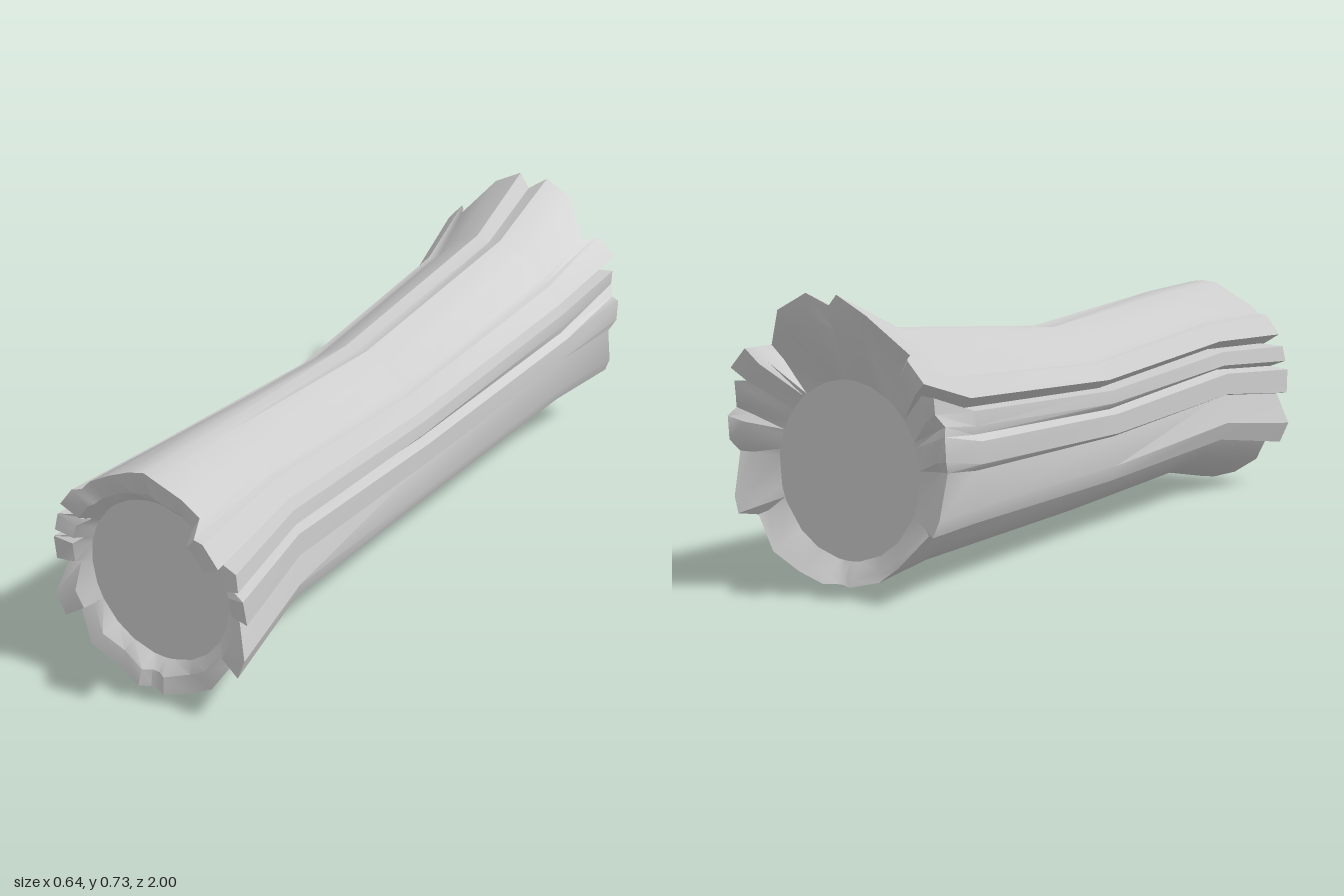
import * as THREE from 'three';
import { toCreasedNormals } from 'three/addons/utils/BufferGeometryUtils.js';

// Half outlines of the bark, top to bottom: [x, y, z] on each broken end
const FRONT = [
  [0, .615, .94], [.04, .61, .95], [.11, .575, .94], [.165, .545, .945], [.187, .52, .95], [.212, .515, .96],
  [.255, .46, .955], [.205, .432, .93], [.27, .425, .95], [.278, .38, .955], [.24, .365, .93], [.288, .355, .95],
  [.291, .285, .94], [.262, .282, .93], [.291, .19, .955], [.266, .13, .95], [.235, .147, .925],
  [.187, .07, .95], [.12, .025, .935], [.04, 0, .955], [.012, 0, .94], [0, .002, .94],
];
const BACK = [
  [0, .7, -.97], [.045, .73, -1], [.13, .685, -1], [.205, .59, -.93], [.225, .587, -.97], [.24, .585, -.99],
  [.285, .535, -.99], [.25, .5, -.95], [.295, .5, -.965], [.295, .46, -.96], [.31, .43, -.94], [.322, .41, -.96],
  [.322, .35, -.955], [.309, .32, -.93], [.305, .21, -.96], [.29, .17, -.965], [.255, .165, -.93],
  [.187, .085, -.96], [.12, .04, -.945], [.04, .02, -.955], [.012, .02, -.94], [0, .021, -.94],
];
// Trunk sections between the ends: z, half width, bottom, top, blend front to back
const STATIONS = [
  [.64, .243, .06, .605, .1],
  [0, .237, .04, .562, .4],
  [-.73, .275, .035, .625, .65],
];

// Full clockwise loop from a half outline
const mirror = (half) => [
  ...half.map((p) => new THREE.Vector3(...p)),
  ...half.slice(1, -1).reverse().map(([x, y, z]) => new THREE.Vector3(-x, y, z)),
];

function station([z, w, bottom, top, t]) {
  return mirror(FRONT.map(([fx, fy], i) => {
    const [bx, by] = BACK[i];
    const x = THREE.MathUtils.lerp(fx / .291, bx / .322, t);
    const y = THREE.MathUtils.lerp(fy / .615, (by - .02) / .71, t);
    return [x * w, bottom + Math.min(y, 1) * (top - bottom), z];
  }));
}

// Point on the cut face edge, in the same direction as the rim point
const inner = (ring, z) => ring.map((p) => {
  const a = Math.atan2((p.y - .293) / .222, p.x / .21);
  return new THREE.Vector3(.21 * Math.cos(a), .293 + .222 * Math.sin(a), z);
});

// Skin a list of closed rings, ordered from front to back
function skin(rings, crease) {
  const pos = [];
  const tri = (a, b, c) => {
    const area = b.clone().sub(a).cross(c.clone().sub(a)).length();
    if (area > 1e-9) pos.push(...a.toArray(), ...b.toArray(), ...c.toArray());
  };
  for (let i = 0; i < rings.length - 1; i++) {
    const n = rings[i].length;
    for (let j = 0; j < n; j++) {
      const k = (j + 1) % n;
      tri(rings[i][j], rings[i][k], rings[i + 1][j]);
      tri(rings[i][k], rings[i + 1][k], rings[i + 1][j]);
    }
  }
  const g = new THREE.BufferGeometry();
  g.setAttribute('position', new THREE.Float32BufferAttribute(pos, 3));
  return toCreasedNormals(g, crease);
}

export function createModel() {
  const group = new THREE.Group();
  group.name = 'hollowLog';
  const material = new THREE.MeshStandardMaterial({ color: 0xcccccc, side: THREE.DoubleSide });
  const add = (name, geometry) => {
    const mesh = new THREE.Mesh(geometry, material);
    mesh.name = name;
    group.add(mesh);
  };

  const frontRim = mirror(FRONT), backRim = mirror(BACK);
  // One long splinter on the left of the front end
  for (const j of [4, 5, 6]) frontRim[j].z = 1;

  const frontEdge = inner(frontRim, .9), backEdge = inner(backRim, -.9);
  // Thickness of the broken bark
  const lip = (rim, edge, amount, inset) => rim.map((p, j) => {
    const q = p.clone().lerp(edge[j], amount);
    q.z = p.z + inset;
    return q;
  });

  add('bark', skin([
    frontEdge, lip(frontRim, frontEdge, .62, -.01), frontRim,
    ...STATIONS.map(station),
    backRim, lip(backRim, backEdge, .3, .015), backEdge,
  ], .6));

  // Flat cut wood inside both ends
  const centre = (z) => frontRim.map(() => new THREE.Vector3(0, .293, z));
  add('frontCutFace', skin([centre(.9), frontEdge], .5));
  add('backCutFace', skin([backEdge, centre(-.9)], .5));

  return group;
}
